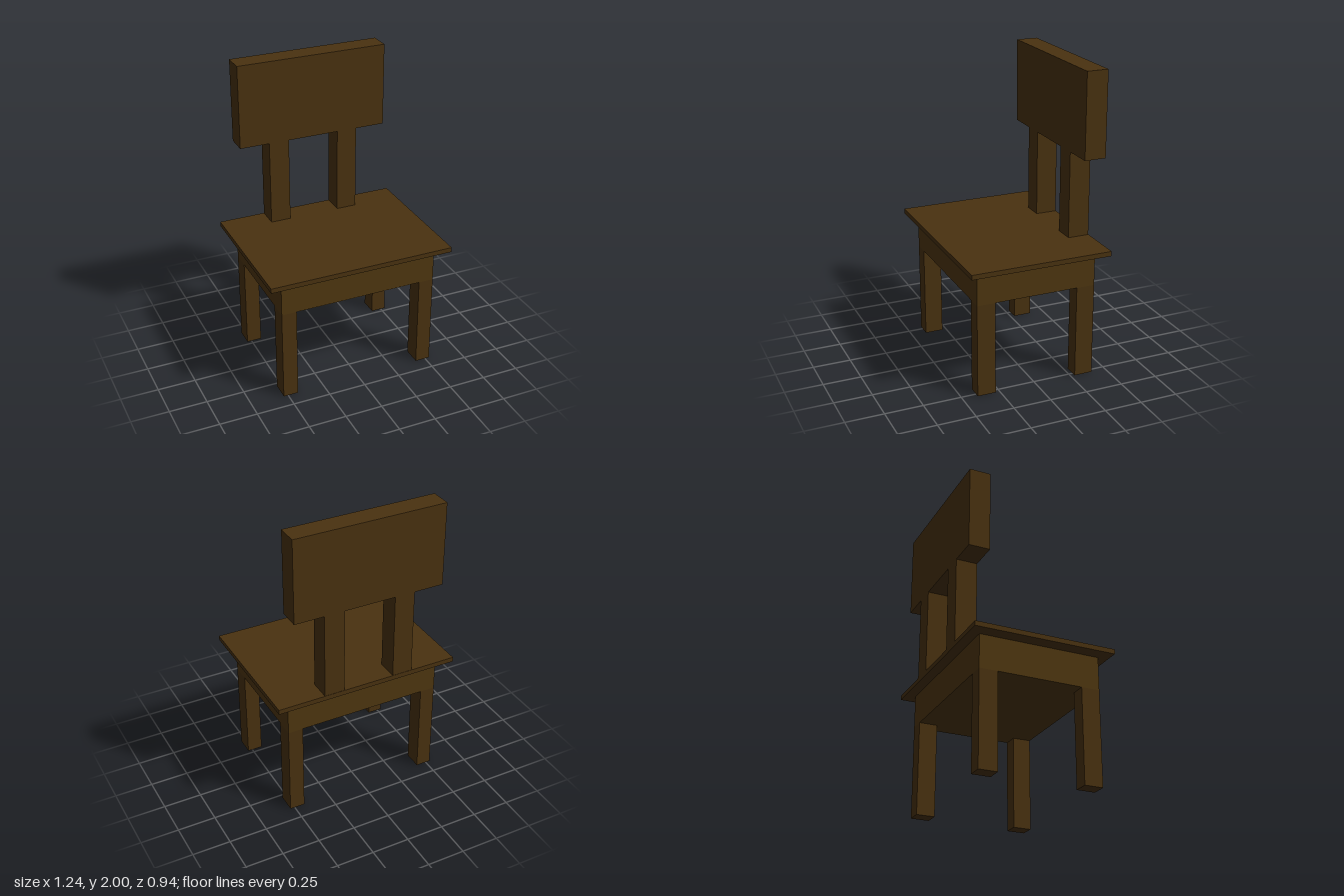
import * as THREE from 'three';

export function createModel() {
  const chair = new THREE.Group();
  chair.name = 'chair';
  const wood = new THREE.MeshStandardMaterial({ color: 0x4a3210 });
  const apronWood = new THREE.MeshStandardMaterial({ color: 0x4f3710 });

  // Box given by its extents along each axis
  function block(name, [x0, x1], [y0, y1], [z0, z1], material = wood) {
    const mesh = new THREE.Mesh(new THREE.BoxGeometry(x1 - x0, y1 - y0, z1 - z0), material);
    mesh.position.set((x0 + x1) / 2, (y0 + y1) / 2, (z0 + z1) / 2);
    mesh.name = name;
    chair.add(mesh);
    return mesh;
  }

  // Seat board and the solid apron below it
  block('seat', [-0.62, 0.62], [0.84, 0.872], [-0.468, 0.468]);
  block('apron', [-0.53, 0.53], [0.62, 0.84], [-0.4, 0.4], apronWood);

  // Legs and back posts, mirrored left and right
  for (const [side, s] of [['left', 1], ['right', -1]]) {
    const span = (a, b) => (s > 0 ? [a, b] : [-b, -a]);
    block(side + 'FrontLeg', span(0.43, 0.53), [0, 0.62], [0.278, 0.4]);
    block(side + 'BackLeg', span(0.43, 0.53), [0, 0.62], [-0.4, -0.278]);
    block(side + 'BackPost', span(0.172, 0.308), [0.872, 1.445], [-0.466, -0.324]);
  }

  // Backrest panel
  block('backrest', [-0.506, 0.506], [1.445, 2], [-0.466, -0.324]);

  return chair;
}
